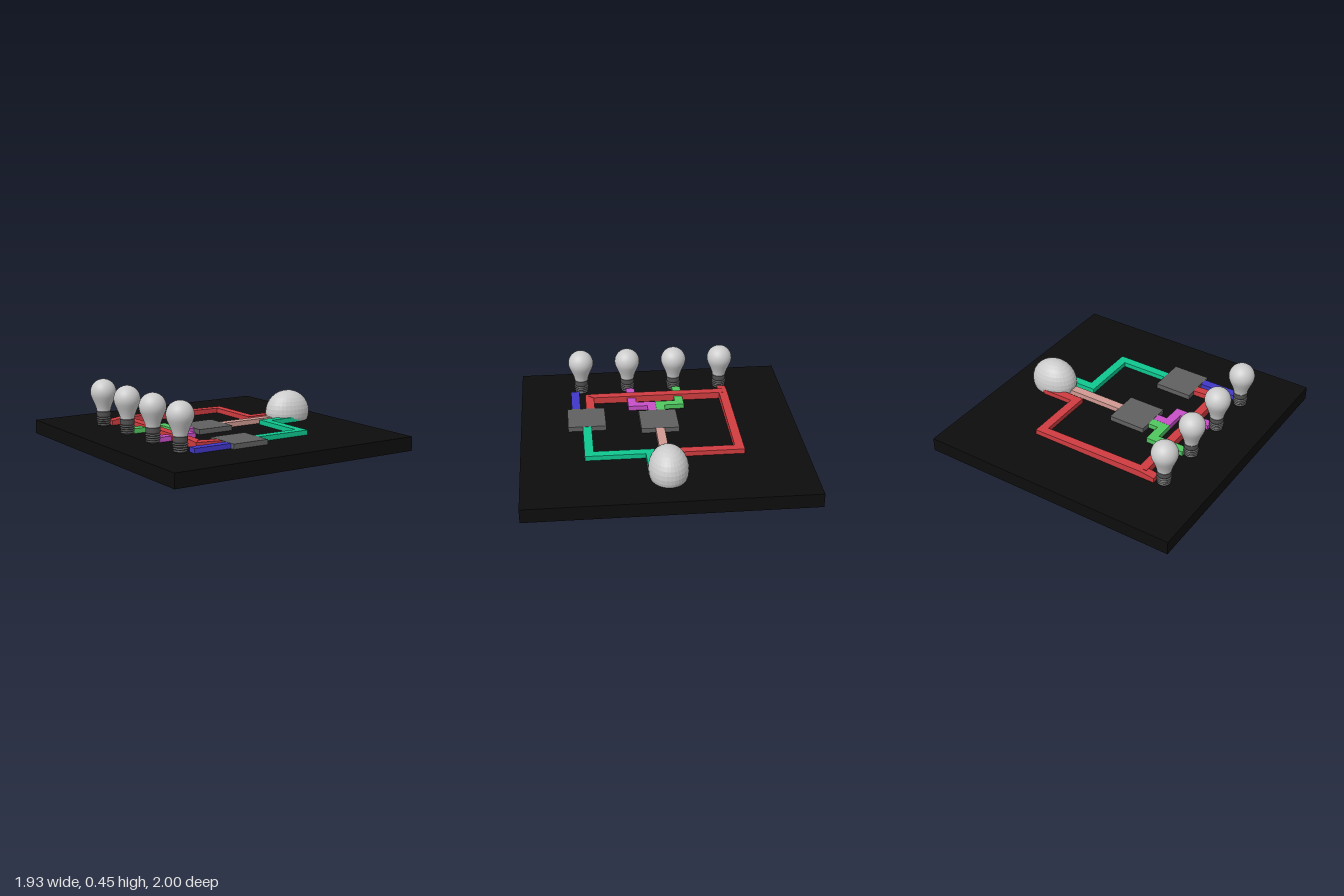
import * as THREE from 'three';

const FLOOR = 0.105; // top face of the board
const material = (color = 0xcccccc, extra = {}) => new THREE.MeshStandardMaterial({ color, ...extra });

function add(parent, name, geometry, mat) {
  const mesh = new THREE.Mesh(geometry, mat);
  mesh.name = name;
  parent.add(mesh);
  return mesh;
}

// Box given by its extents
function block(parent, name, [x0, x1], [y0, y1], [z0, z1], color) {
  const mesh = add(parent, name, new THREE.BoxGeometry(x1 - x0, y1 - y0, z1 - z0), material(color));
  mesh.position.set((x0 + x1) / 2, (y0 + y1) / 2, (z0 + z1) / 2);
}

// Mitred strip of rectangular section along points [x, z, top height]
function traceGeometry(points, width = 0.064) {
  const pos = [], index = [];
  const normalOf = (a, b) => new THREE.Vector2(b[1] - a[1], a[0] - b[0]).normalize();
  points.forEach((p, i) => {
    const before = i > 0 ? normalOf(points[i - 1], p) : normalOf(p, points[1]);
    const after = i < points.length - 1 ? normalOf(p, points[i + 1]) : before;
    const n = before.clone().add(after).multiplyScalar(width / 2 / (1 + before.dot(after)));
    const [x, z, top = 0.14] = p;
    pos.push(x + n.x, FLOOR - 0.003, z + n.y, x + n.x, top, z + n.y);
    pos.push(x - n.x, top, z - n.y, x - n.x, FLOOR - 0.003, z - n.y);
    if (i === 0) return;
    for (let k = 0; k < 4; k++) {
      const a = (i - 1) * 4 + k, b = (i - 1) * 4 + (k + 1) % 4;
      index.push(a, b, b + 4, a, b + 4, a + 4);
    }
  });
  const e = (points.length - 1) * 4;
  index.push(0, 2, 1, 0, 3, 2, e, e + 1, e + 2, e, e + 2, e + 3);
  const indexed = new THREE.BufferGeometry();
  indexed.setAttribute('position', new THREE.Float32BufferAttribute(pos, 3));
  indexed.setIndex(index);
  const geometry = indexed.toNonIndexed();
  geometry.computeVertexNormals();
  return geometry;
}

function createBulb() {
  const bulb = new THREE.Group();
  // Glass: rounded crown tapering into a neck
  const profile = [[0.05, 0.218], [0.053, 0.235], [0.062, 0.262], [0.076, 0.295], [0.087, 0.32]];
  for (let i = 0; i <= 10; i++) {
    const a = -0.2 + (Math.PI / 2 + 0.2) * i / 10;
    profile.push([Math.max(0, 0.094 * Math.cos(a)), 0.357 + 0.094 * Math.sin(a)]);
  }
  const lathe = pts => new THREE.LatheGeometry(pts.map(([r, y]) => new THREE.Vector2(r, y)), 32);
  add(bulb, 'glass', lathe(profile), material(0xcccccc, { side: THREE.DoubleSide }));

  // Screw cap: collar above rolled threads
  const cap = [[0, FLOOR], [0.03, FLOOR]];
  for (let i = 0; i < 4; i++) {
    const y = 0.112 + i * 0.016, r = 0.043 + i * 0.002;
    cap.push([r, y], [r + 0.005, y + 0.005], [r, y + 0.01], [r - 0.005, y + 0.013]);
  }
  cap.push([0.048, 0.178], [0.051, 0.183], [0.051, 0.215], [0.047, 0.22], [0, 0.22]);
  add(bulb, 'screwCap', lathe(cap), material(0x505050, { flatShading: true }));
  return bulb;
}

export function createModel() {
  const model = new THREE.Group();
  model.name = 'circuitBoard';

  block(model, 'board', [-0.965, 0.965], [0.004, FLOOR], [-1, 1], 0x0d0d0d);

  // Chips
  block(model, 'upperChip', [-0.235, 0.042], [0.1, 0.141], [-0.14, 0.135], 0x606060);
  block(model, 'lowerChip', [-0.303, -0.026], [0.1, 0.141], [0.385, 0.66], 0x606060);

  // Coloured traces; the crossing one is raised over its neighbours
  const traces = {
    redTrace: [0xd03c40, [[-0.585, -0.528], [-0.475, -0.528, 0.155], [0.362, -0.528], [0.362, -0.104], [0.64, -0.104]]],
    redCrossing: [0xd03c40, [[-0.475, -0.528, 0.155], [-0.475, 0.455, 0.155], [-0.475, 0.488, 0.15], [-0.3, 0.488]]],
    greenTrace: [0x50c860, [[-0.6, -0.18], [-0.341, -0.18], [-0.341, -0.033], [-0.23, -0.033]]],
    magentaTrace: [0xc850c8, [[-0.6, 0.173], [-0.341, 0.173], [-0.341, 0.032], [-0.23, 0.032]]],
    tealTrace: [0x0fc890, [[-0.03, 0.523], [0.362, 0.523], [0.362, 0.1], [0.64, 0.1]]],
    blueTrace: [0x4038c8, [[-0.585, 0.594], [-0.3, 0.594]]],
    pinkTrace: [0xd29a92, [[0.04, 0], [0.55, 0]]],
  };
  for (const [name, [color, points]] of Object.entries(traces)) {
    add(model, name, traceGeometry(points), material(color));
  }

  // Row of bulbs along the left edge of the board
  [-0.52, -0.165, 0.19, 0.543].forEach((z, i) => {
    const bulb = createBulb();
    bulb.name = `bulb${i + 1}`;
    bulb.position.set(-0.643, 0, z);
    model.add(bulb);
  });

  // Faceted egg-shaped dome sunk through the board
  const dome = add(model, 'dome', new THREE.SphereGeometry(1, 32, 16), material(0xcccccc, { flatShading: true }));
  dome.scale.set(0.175, 0.1625, 0.138);
  dome.position.set(0.633, 0.1625, 0);

  return model;
}
